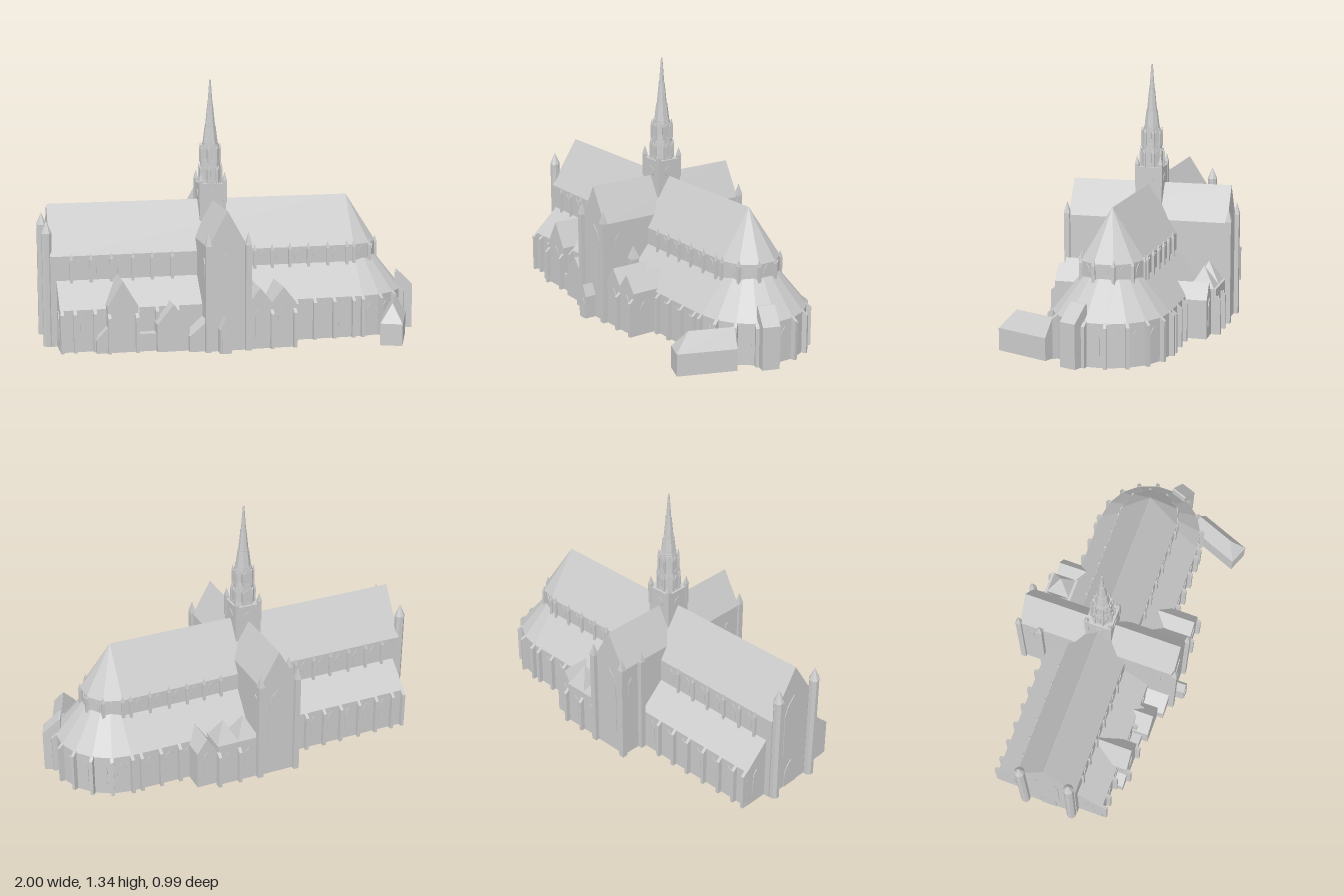
import * as THREE from 'three';

const Z0 = -0.04; // main axis of the church
const H = Math.PI / 2;

export function createModel() {
  const model = new THREE.Group();
  const stone = new THREE.MeshStandardMaterial({ color: 0xcccccc });
  stone.name = 'pale stone';

  // Adds a faceted mesh
  function add(name, geo, x = 0, y = 0, z = 0, ry = 0) {
    const g = geo.index ? geo.toNonIndexed() : geo;
    g.computeVertexNormals();
    const m = new THREE.Mesh(g, stone);
    m.name = name;
    m.position.set(x, y, z);
    m.rotation.y = ry;
    model.add(m);
    return m;
  }

  // Joins rings of points (clockwise from above), closed at both ends
  function loft(rings) {
    const pos = [];
    const tri = (...p) => p.forEach((v) => pos.push(...v));
    const n = rings[0].length;
    for (let k = 0; k + 1 < rings.length; k++) {
      for (let i = 0; i < n; i++) {
        const j = (i + 1) % n, L = rings[k], U = rings[k + 1];
        tri(L[j], L[i], U[i]);
        tri(L[j], U[i], U[j]);
      }
    }
    const B = rings[0], T = rings[rings.length - 1];
    for (let i = 1; i + 1 < n; i++) {
      tri(B[0], B[i], B[i + 1]);
      tri(T[0], T[i + 1], T[i]);
    }
    const g = new THREE.BufferGeometry();
    g.setAttribute('position', new THREE.Float32BufferAttribute(pos, 3));
    return g;
  }
  const rect = (x0, x1, z0, z1, y) => [[x0, y, z0], [x1, y, z0], [x1, y, z1], [x0, y, z1]];
  // Outline with a straight west end and a polygonal east end
  function apseRing(x0, cx, r, y, faces) {
    const ring = [];
    for (let i = 0; i <= faces; i++) {
      const a = -H + (Math.PI * i) / faces;
      ring.push([cx + r * Math.cos(a), y, Z0 + r * Math.sin(a)]);
    }
    ring.push([x0, y, Z0 + r], [x0, y, Z0 - r]);
    return ring;
  }

  function extrude(points, depth) {
    const s = new THREE.Shape(points.map((p) => new THREE.Vector2(p[0], p[1])));
    return new THREE.ExtrudeGeometry(s, { depth, bevelEnabled: false });
  }
  // Gabled block with its ridge along z
  function gable(name, x, w, eave, peak, z0, z1) {
    const h = w / 2;
    add(name, extrude([[-h, 0], [h, 0], [h, eave], [0, peak], [-h, eave]], z1 - z0), x, 0, z0);
  }
  // Block with a roof falling outward along its local +z
  function lean(name, x, z, ry, w, d, hFront, hBack, y = 0) {
    const g = extrude([[-0.01, 0], [d, 0], [d, hFront], [0, hBack], [-0.01, hBack]], w);
    g.translate(0, 0, -w / 2).rotateY(-H);
    add(name, g, x, y, z, ry);
  }
  const buttress = (x, z, ry, h = 0.215) => lean('buttress', x, z, ry, 0.017, 0.024, h - 0.02, h);
  // Thin pointed-arch panel facing its local +z
  function lancet(name, x, y, z, ry, w, h) {
    const a = w / 2, s = h - w * 0.8;
    const g = extrude([[-a, 0], [a, 0], [a, s], [a * 0.7, s + w * 0.42], [0, h],
      [-a * 0.7, s + w * 0.42], [-a, s]], 0.006);
    g.translate(0, 0, -0.002);
    add(name, g, x, y, z, ry);
  }
  // Shaft with a pointed cap
  function pinnacle(name, x, z, r, y0, y1, tip, sides = 4) {
    const shaft = new THREE.CylinderGeometry(r, r, y1 - y0, sides).rotateY(Math.PI / sides);
    const cap = new THREE.ConeGeometry(r * 1.1, tip - y1, sides).rotateY(Math.PI / sides);
    add(name, shaft, x, (y0 + y1) / 2, z);
    add(name + 'Cap', cap, x, (y1 + tip) / 2, z);
  }
  const box = (name, x0, x1, y0, y1, z0, z1) =>
    add(name, new THREE.BoxGeometry(x1 - x0, y1 - y0, z1 - z0), (x0 + x1) / 2, (y0 + y1) / 2, (z0 + z1) / 2);

  // Nave and choir with the hipped east roof
  add('mainVessel', loft([apseRing(-0.96, 0.64, 0.16, 0, 5), apseRing(-0.96, 0.64, 0.16, 0.465, 5),
    apseRing(-0.96, 0.64, 0.0005, 0.713, 5)]));
  // Nave aisles
  add('naveAisles', loft([rect(-0.93, -0.1, Z0 - 0.295, Z0 + 0.295, 0),
    rect(-0.93, -0.1, Z0 - 0.295, Z0 + 0.295, 0.215), rect(-0.93, -0.1, Z0 - 0.155, Z0 + 0.155, 0.345)]));
  // Choir aisles and ambulatory
  add('ambulatory', loft([apseRing(-0.1, 0.65, 0.29, 0, 9), apseRing(-0.1, 0.65, 0.29, 0.215, 9),
    apseRing(-0.1, 0.65, 0.145, 0.395, 9)]));
  // Transept
  gable('transept', -0.102, 0.205, 0.53, 0.713, -0.47, 0.39);

  // Buttresses and windows along both long sides
  const naveBays = [-0.92, -0.855, -0.755, -0.65, -0.54, -0.44, -0.335];
  const choirBays = [0.1, 0.195, 0.29, 0.39, 0.495, 0.6];
  for (const s of [-1, 1]) {
    const ry = s > 0 ? 0 : Math.PI;
    naveBays.forEach((x, i) => {
      buttress(x, Z0 + s * 0.295, ry);
      const mid = i < 6 ? (x + naveBays[i + 1]) / 2 : -0.27;
      if (i > 0) {
        pinnacle('naveButtress', x, Z0 + s * 0.165, 0.011, 0.3, 0.445, 0.48);
        lancet('naveClerestoryWindow', mid, 0.36, Z0 + s * 0.16, ry, 0.05, 0.09);
        lancet('naveAisleWindow', mid, 0.06, Z0 + s * 0.295, ry, 0.05, 0.13);
      }
    });
    choirBays.forEach((x, i) => {
      pinnacle('choirButtress', x, Z0 + s * 0.165, 0.011, 0.34, 0.455, 0.49);
      const mid = i < 5 ? (x + choirBays[i + 1]) / 2 : 0.625;
      if (i < 5) lancet('choirClerestoryWindow', mid, 0.4, Z0 + s * 0.16, ry, 0.045, 0.06);
      if (i > 1) buttress(x, Z0 + s * 0.29, ry);
      if (i > 1 && i < 5) lancet('choirAisleWindow', mid, 0.06, Z0 + s * 0.29, ry, 0.05, 0.13);
    });
    // West turrets and aisle fronts
    pinnacle('westTurret', -0.974, Z0 + s * 0.133, 0.026, 0, 0.585, 0.65, 8);
    lancet('westAisleWindow', -0.93, 0.06, Z0 + s * 0.225, -H, 0.05, 0.14);
    // Transept corner pinnacles and end windows
    const end = s > 0 ? 0.39 : -0.47;
    for (const x of [-0.203, 0.002]) pinnacle('transeptPinnacle', x, end + s * 0.008, 0.021, 0, 0.54, 0.605);
    lancet('transeptWindow', -0.1, s > 0 ? 0.24 : 0.12, end, ry, 0.1, s > 0 ? 0.27 : 0.38);
    for (const t of [-1, 1]) {
      lancet('transeptSideWindow', -0.102 + t * 0.1025, 0.365, s > 0 ? 0.305 : -0.415, t * H, 0.042, 0.1);
    }
  }
  lancet('westWindow', -0.96, 0.2, Z0, -H, 0.13, 0.35);
  lancet('westDoor', -0.96, 0, Z0, -H, 0.09, 0.15);
  pinnacle('stairTurret', -0.215, -0.355, 0.02, 0, 0.54, 0.6);

  // Apse clerestory and ambulatory bays
  const around = (cx, r, a, fn) => fn(cx + r * Math.cos(a), Z0 + r * Math.sin(a), H - a);
  for (const [cx, r, faces] of [[0.64, 0.16, 5], [0.65, 0.29, 9]]) {
    const step = Math.PI / faces, inner = faces === 5;
    for (let i = 0; i <= faces; i++) {
      const a = -H + step * i;
      around(cx, r, a, (x, z, ry) => {
        if (inner) pinnacle('apseButtress', x, z, 0.012, 0.34, 0.455, 0.49);
        else buttress(x, z, ry, 0.22);
      });
      if (i < faces) {
        around(cx, r * Math.cos(step / 2), a + step / 2, (x, z, ry) => {
          if (inner) lancet('apseWindow', x, 0.4, z, ry, 0.05, 0.06);
          else lancet('ambulatoryWindow', x, 0.06, z, ry, 0.048, 0.12);
        });
      }
    }
  }

  // Crossing tower
  const tx = -0.1;
  box('crossingTower', tx - 0.07, tx + 0.07, 0.45, 0.8, Z0 - 0.07, Z0 + 0.07);
  for (let i = 0; i < 4; i++) {
    const a = i * H, rose = new THREE.CylinderGeometry(0.027, 0.027, 0.006, 20).rotateX(H);
    add('towerRose', rose, tx + 0.07 * Math.sin(a), 0.737, Z0 + 0.07 * Math.cos(a), a);
    const c = a + H / 2;
    pinnacle('towerPinnacle', tx + 0.09 * Math.sin(c), Z0 + 0.09 * Math.cos(c), 0.014, 0.7, 0.815, 0.86);
  }
  // Stepped octagonal spire
  const stages = [[0.06, 0.054, 0.8, 0.905], [0.053, 0.046, 0.905, 1.0], [0.041, 0.03, 1.0, 1.09],
    [0.027, 0.016, 1.09, 1.2], [0.014, 0.004, 1.2, 1.335]];
  stages.forEach(([r0, r1, y0, y1], k) => {
    add('spireStage', new THREE.CylinderGeometry(r1, r0, y1 - y0, 8).rotateY(Math.PI / 8), tx, (y0 + y1) / 2, Z0);
    const band = new THREE.CylinderGeometry(r0 + 0.002, r0 + 0.002, 0.007, 8).rotateY(Math.PI / 8);
    add('spireBand', band, tx, y0 + 0.0035, Z0);
    if (k > 1) return;
    for (let i = 0; i < 8; i++) {
      const a = (i * Math.PI) / 4, c = a + Math.PI / 8, m = ((r0 + r1) / 2) * 0.93;
      lancet('spireWindow', tx + m * Math.sin(a), y0 + 0.02, Z0 + m * Math.cos(a), a, 0.022, 0.065);
      pinnacle('spirePinnacle', tx + r0 * Math.sin(c), Z0 + r0 * Math.cos(c), 0.007, y0, y0 + 0.07, y0 + 0.105);
    }
  });

  // South side chapels and porches
  gable('southChapel', -0.62, 0.155, 0.235, 0.365, 0.1, 0.31);
  lancet('southChapelWindow', -0.62, 0.07, 0.31, 0, 0.06, 0.16);
  for (const x of [-0.69, -0.55]) buttress(x, 0.31, 0, 0.2);
  lean('southLeanTo', -0.697, 0.28, -H, 0.06, 0.058, 0.07, 0.13);
  box('lowWall', -0.55, -0.44, 0, 0.09, 0.24, 0.31);
  gable('southVestry', -0.37, 0.165, 0.14, 0.24, 0.1, 0.345);
  lean('westPorch', -0.205, 0.315, -H, 0.13, 0.09, 0.08, 0.155);
  gable('southPorch', -0.124, 0.058, 0.12, 0.18, 0.38, 0.45);
  lancet('southPorchDoor', -0.124, 0, 0.45, 0, 0.036, 0.11);
  for (const x of [0.068, 0.19]) {
    gable('southTwinChapel', x, 0.132, 0.23, 0.313, 0.1, 0.385);
    lancet('twinChapelWindow', x, 0.06, 0.385, 0, 0.055, 0.15);
  }
  for (const x of [0.128, 0.248]) buttress(x, 0.385, 0, 0.2);
  lancet('twinChapelEastWindow', 0.256, 0.06, 0.32, H, 0.05, 0.12);
  pinnacle('southTurret', 0.035, 0.235, 0.03, 0.15, 0.33, 0.4);

  // North side sacristy with pyramid roofs and gabled chapel
  box('northSacristy', 0, 0.23, 0, 0.235, -0.465, -0.3);
  for (const x of [0.058, 0.172]) {
    const z0 = -0.455, z1 = -0.325, e = 0.0005;
    add('sacristyRoof', loft([rect(x - 0.057, x + 0.057, z0, z1, 0.23),
      rect(x - e, x + e, -0.39 - e, -0.39 + e, 0.34)]));
    lancet('sacristyWindow', x, 0.06, -0.465, Math.PI, 0.05, 0.13);
    buttress(x + 0.055, -0.465, Math.PI, 0.2);
  }
  gable('northChapel', 0.28, 0.11, 0.2, 0.28, -0.44, -0.2);
  lancet('northChapelWindow', 0.28, 0.06, -0.44, Math.PI, 0.05, 0.14);

  // East link block and detached-looking house at an angle
  around(0.65, 0.27, Math.PI / 9, (x, z, ry) => lean('eastLink', x, z, ry, 0.088, 0.085, 0.22, 0.3));
  const houseRoof = [[-0.0005, 0.205, -0.15], [0.0005, 0.205, -0.15], [0.0005, 0.205, 0.08], [-0.0005, 0.205, 0.08]];
  add('eastHouse', loft([rect(-0.057, 0.057, -0.15, 0.15, 0), rect(-0.057, 0.057, -0.15, 0.15, 0.113),
    houseRoof]), 0.79, 0, 0.338, -0.385);

  return model;
}
